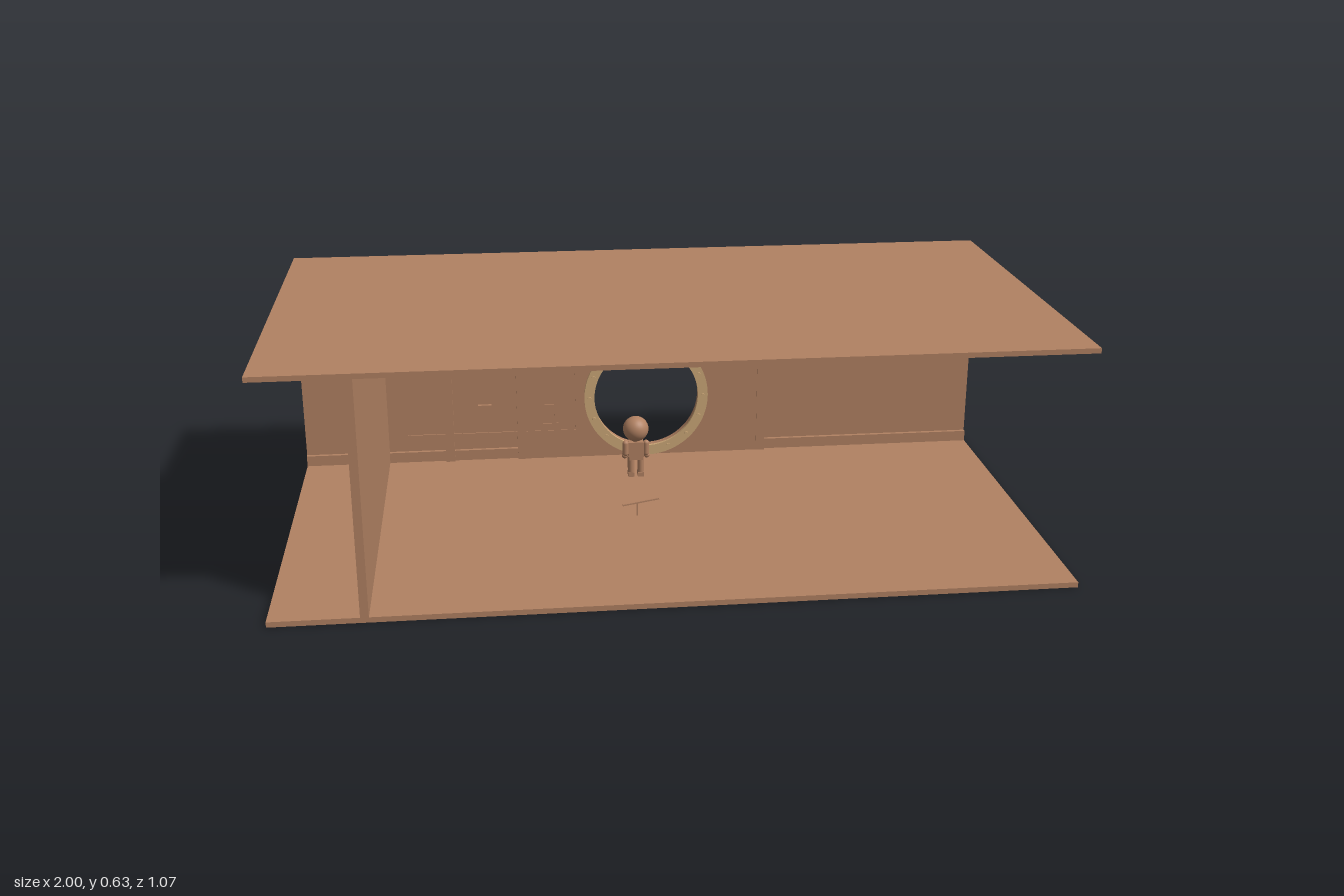
import * as THREE from 'three';

export function createModel() {
  const model = new THREE.Group();
  const clay = new THREE.MeshStandardMaterial({ color: 0xb18162 });
  clay.name = 'clay brown';
  const brass = new THREE.MeshStandardMaterial({ color: 0xcda878 });
  brass.name = 'pale brass';

  const add = (name, geometry, x, y, z, material = clay, parent = model) => {
    const mesh = new THREE.Mesh(geometry, material);
    mesh.name = name;
    mesh.position.set(x, y, z);
    parent.add(mesh);
    return mesh;
  };
  // Box given by its two extreme corners
  const span = (name, x0, x1, y0, y1, z0, z1) =>
    add(name, new THREE.BoxGeometry(x1 - x0, y1 - y0, z1 - z0),
      (x0 + x1) / 2, (y0 + y1) / 2, (z0 + z1) / 2);

  const low = 0.014, high = 0.617, depth = 0.535;
  const doorX = 0.01, doorY = 0.2, wallBack = -0.478;

  // Room shell: floor, ceiling and one full-depth side wall
  span('floor', -1, 1, 0, low, -depth, depth);
  span('ceiling', -1, 1, high, 0.63, -depth, depth);
  span('sideWall', -0.778, -0.757, low, high, -depth, depth);

  // Middle bay with the round doorway
  const bay = new THREE.Shape();
  bay.moveTo(-0.35, low);
  bay.lineTo(0.345, low);
  bay.lineTo(0.345, high);
  bay.lineTo(-0.35, high);
  bay.closePath();
  const opening = new THREE.Path();
  opening.absarc(doorX, doorY, 0.157, 0, Math.PI * 2, true);
  bay.holes.push(opening);
  add('doorBay', new THREE.ExtrudeGeometry(bay, { depth: 0.025, bevelEnabled: false, curveSegments: 48 }), 0, 0, wallBack);

  // Panelled bays on both sides
  for (const [x0, x1] of [[-1, -0.35], [0.345, 1]]) {
    span('wallPanel', x0, x1, low, high, wallBack, -0.471);
    span('upperBoard', x0, x1, 0.477, high, -0.471, -0.454);
    span('rail', x0, x1, 0.448, 0.477, -0.471, -0.458);
    span('baseboard', x0, x1, low, 0.045, -0.471, -0.46);
  }
  for (const x of [-0.59, -0.376, 0.345]) {
    span('wallPost', x, x + 0.026, low, high, -0.471, -0.451);
  }

  // Round door frame with studs
  const rim = new THREE.Shape();
  rim.absarc(0, 0, 0.185, 0, Math.PI * 2, false);
  const inner = new THREE.Path();
  inner.absarc(0, 0, 0.155, 0, Math.PI * 2, true);
  rim.holes.push(inner);
  const frame = new THREE.Group();
  frame.name = 'doorFrame';
  frame.position.set(doorX, doorY, -0.453);
  model.add(frame);
  add('frameRing', new THREE.ExtrudeGeometry(rim, { depth: 0.009, bevelEnabled: false, curveSegments: 48 }), 0, 0, 0, brass, frame);
  const stud = new THREE.CylinderGeometry(0.006, 0.006, 0.004, 10).rotateX(Math.PI / 2);
  for (let i = 0; i < 16; i++) {
    const a = (i / 16) * Math.PI * 2;
    add('frameStud', stud, Math.cos(a) * 0.17, Math.sin(a) * 0.17, 0.011, brass, frame);
  }

  // Slim conduits and small fittings on the wall
  span('conduit', -0.7, -0.2, 0.098, 0.102, -0.455, -0.451);
  span('riser', -0.202, -0.198, 0.1, 0.305, -0.455, -0.451);
  span('bracketTop', -0.3, -0.253, 0.181, 0.185, -0.472, -0.45);
  span('bracketStem', -0.264, -0.26, 0.125, 0.181, -0.472, -0.45);
  span('bracketFoot', -0.3, -0.253, 0.121, 0.125, -0.472, -0.45);
  span('wallHandle', -0.49, -0.45, 0.181, 0.185, -0.472, -0.46);

  // Small T-shaped tool in the room
  const tool = new THREE.Group();
  tool.name = 'tool';
  tool.position.set(-0.07, 0.098, 0.105);
  model.add(tool);
  add('toolBar', new THREE.BoxGeometry(0.1, 0.004, 0.005), 0.01, 0, 0, clay, tool).rotation.set(0, 0.14, 0.1);
  add('toolStem', new THREE.BoxGeometry(0.004, 0.038, 0.004), 0, -0.019, 0, clay, tool);

  // Figure looking towards the door
  const figure = new THREE.Group();
  figure.name = 'figure';
  figure.position.set(-0.037, 0, -0.286);
  model.add(figure);
  add('head', new THREE.SphereGeometry(0.037, 28, 20), 0, 0.16, 0, clay, figure);
  add('nose', new THREE.SphereGeometry(0.009, 12, 8), 0, 0.153, -0.032, clay, figure);
  add('neck', new THREE.CylinderGeometry(0.009, 0.009, 0.015, 12), 0, 0.124, 0, clay, figure);
  add('torso', new THREE.BoxGeometry(0.044, 0.045, 0.028), 0, 0.099, 0, clay, figure);
  add('hips', new THREE.BoxGeometry(0.04, 0.012, 0.026), 0, 0.073, 0, clay, figure);
  for (const s of [-1, 1]) {
    add('arm', new THREE.CapsuleGeometry(0.009, 0.03, 4, 12), s * 0.03, 0.1, 0, clay, figure);
    add('hand', new THREE.SphereGeometry(0.009, 12, 8), s * 0.032, 0.077, -0.003, clay, figure);
    add('leg', new THREE.CylinderGeometry(0.01, 0.01, 0.05, 12), s * 0.014, 0.05, 0, clay, figure);
    add('foot', new THREE.BoxGeometry(0.018, 0.013, 0.032), s * 0.014, 0.0205, -0.005, clay, figure);
  }
  return model;
}
